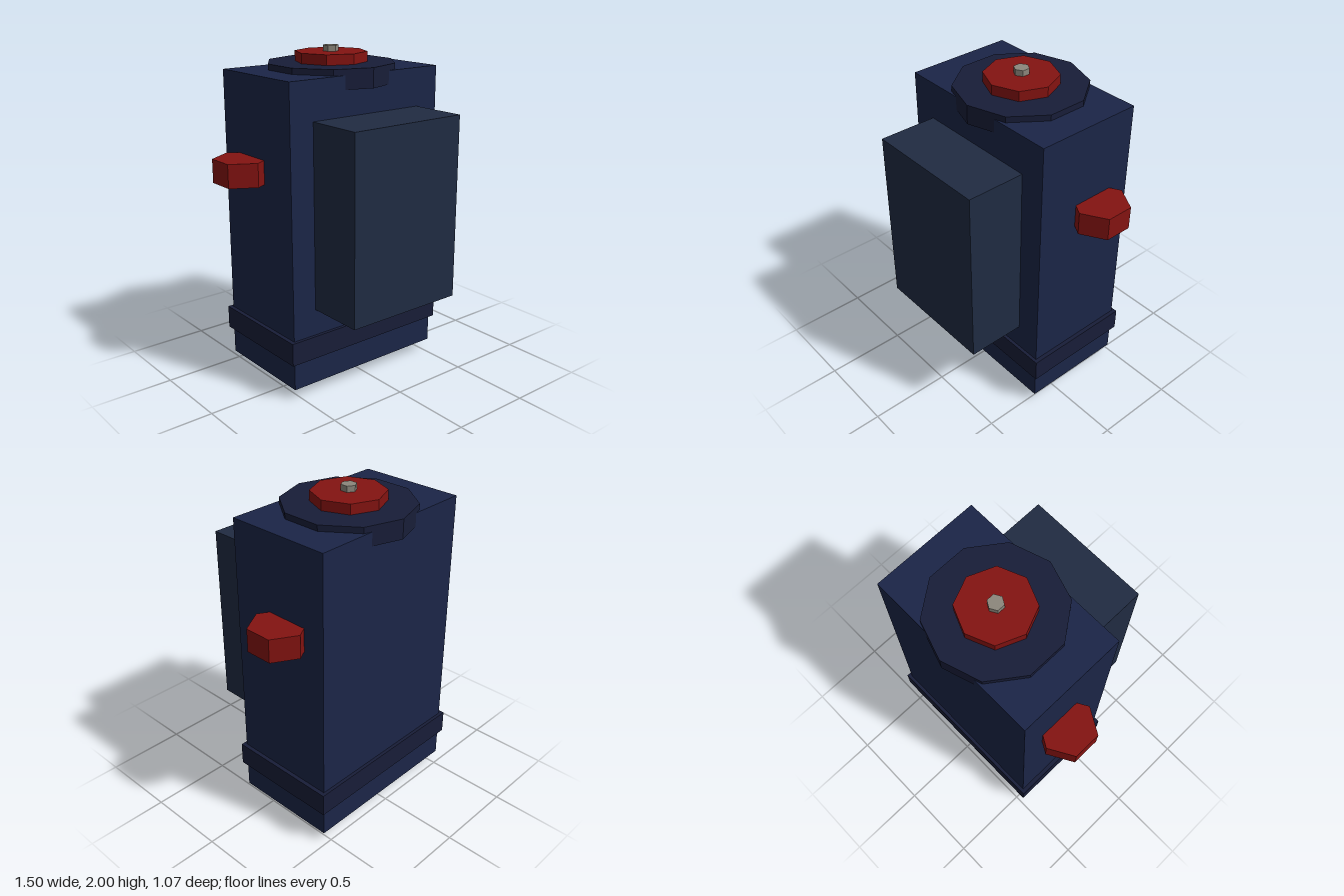
import * as THREE from 'three';

const mat = (color) => new THREE.MeshStandardMaterial({ color, flatShading: true });

export function createModel() {
  const model = new THREE.Group();
  const navy = mat(0x1b2547), darkNavy = mat(0x181d38), slate = mat(0x202b42);
  const red = mat(0x841311), metal = mat(0x8c877c);

  const add = (name, geometry, material, x, y, z) => {
    const mesh = new THREE.Mesh(geometry, material);
    mesh.name = name;
    mesh.position.set(x, y, z);
    model.add(mesh);
  };
  // Box given by half width and its y and z ranges
  const box = (name, material, hx, y0, y1, z0, z1) =>
    add(name, new THREE.BoxGeometry(hx * 2, y1 - y0, z1 - z0), material, 0, (y0 + y1) / 2, (z0 + z1) / 2);
  // Upright prism with a corner pointing to the front
  const prism = (name, material, sides, r, y0, y1, x, z) =>
    add(name, new THREE.CylinderGeometry(r, r, y1 - y0, sides), material, x, (y0 + y1) / 2, z);

  // Torso, waist band and front pack
  box('body', navy, 0.54, 0.065, 1.87, -0.48, 0.18);
  box('waistBand', darkNavy, 0.565, 0.235, 0.375, -0.5, 0.2);
  box('frontPack', slate, 0.385, 0.535, 1.64, 0.1, 0.535);

  // Collar, cap and bolt stacked on top
  prism('collar', darkNavy, 10, 0.385, 1.79, 1.905, 0, -0.153);
  prism('cap', red, 8, 0.215, 1.88, 1.965, 0, -0.153);
  prism('bolt', metal, 6, 0.046, 1.93, 2.0, 0, -0.153);

  // Side knobs and feet
  for (const [side, s] of [['left', 1], ['right', -1]]) {
    prism(side + 'Knob', red, 6, 0.167, 1.26, 1.4, s * 0.603, -0.21);
    prism(side + 'Foot', red, 6, 0.191, 0, 0.12, s * 0.265, -0.149);
  }
  return model;
}
